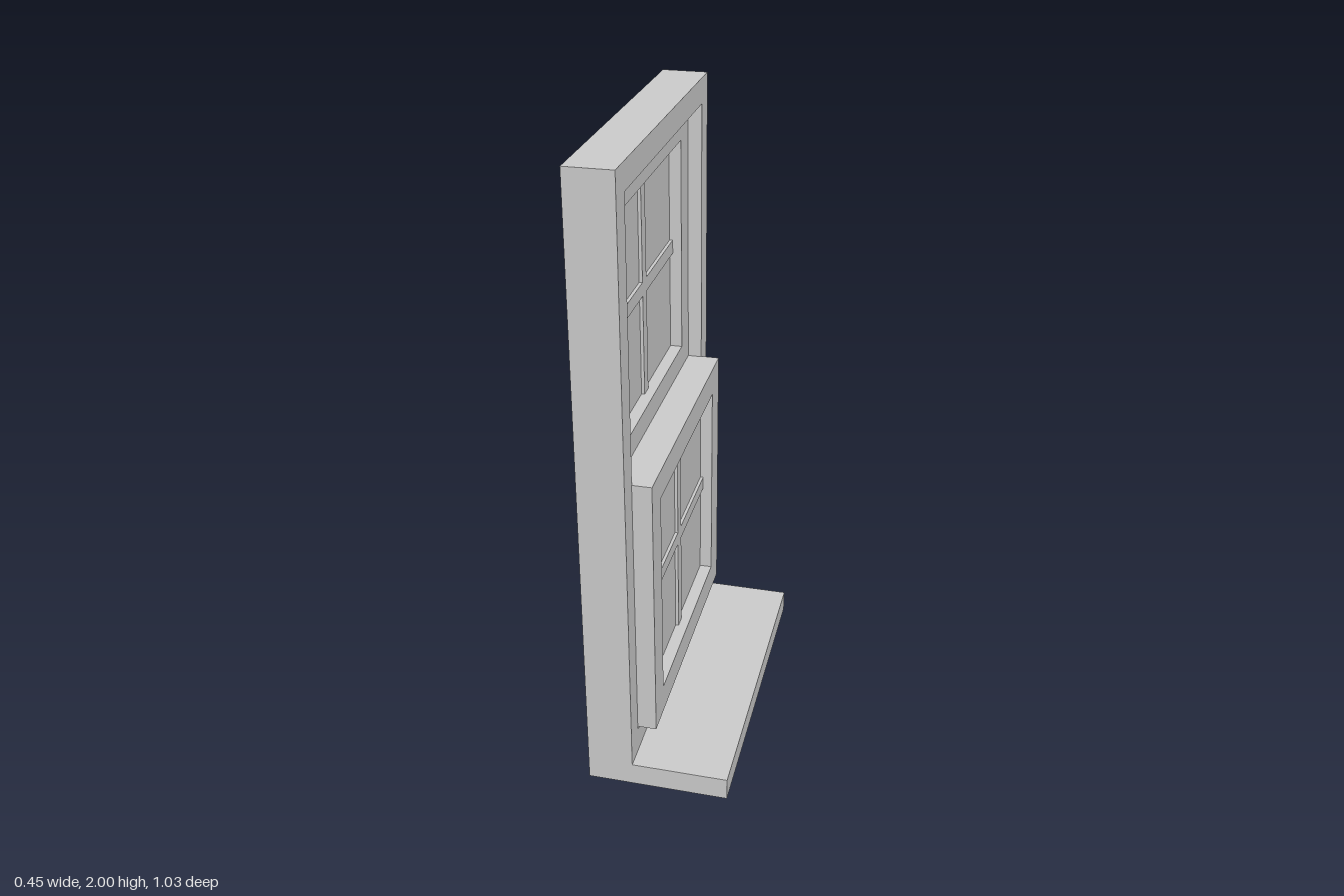
import * as THREE from 'three';

const material = new THREE.MeshStandardMaterial({ color: 0xcccccc, flatShading: true });

function part(name, geometry) {
  const mesh = new THREE.Mesh(geometry, material);
  mesh.name = name;
  return mesh;
}

// Box given by its limits on each axis
function box(name, x0, x1, y0, y1, z0, z1) {
  const geometry = new THREE.BoxGeometry(x1 - x0, y1 - y0, z1 - z0);
  geometry.translate((x0 + x1) / 2, (y0 + y1) / 2, (z0 + z1) / 2);
  return part(name, geometry);
}

function trace(path, halfWidth, y0, y1) {
  path.moveTo(-halfWidth, y0);
  path.lineTo(halfWidth, y0);
  path.lineTo(halfWidth, y1);
  path.lineTo(-halfWidth, y1);
  path.closePath();
  return path;
}

// Rectangular surround with a rectangular opening, extruded along x
function surround(name, x0, x1, outer, inner) {
  const shape = trace(new THREE.Shape(), ...outer);
  shape.holes.push(trace(new THREE.Path(), ...inner));
  const geometry = new THREE.ExtrudeGeometry(shape, { depth: x1 - x0, bevelEnabled: false });
  geometry.rotateY(Math.PI / 2);
  geometry.translate(x0, 0, 0);
  return part(name, geometry);
}

// Sash: surround, glass pane and crossed glazing bars
function sash(name, x0, x1, outer, inner) {
  const group = new THREE.Group();
  group.name = name;
  const [w, y0, y1] = inner;
  const x = (x0 + x1) / 2, y = (y0 + y1) / 2;
  const glass = 0.012, bar = 0.022, half = 0.022;
  group.add(
    surround('sashFrame', x0, x1, outer, inner),
    box('glass', x - glass, x + glass, y0, y1, -w, w),
    box('verticalBar', x - bar, x + bar, y0, y1, -half, half),
    box('horizontalBar', x - bar, x + bar, y - half, y + half, -w, w)
  );
  return group;
}

export function createModel() {
  const model = new THREE.Group();
  model.name = 'sashWindow';
  model.add(
    surround('windowFrame', -0.223, -0.08, [0.515, 0, 2], [0.438, 0.155, 1.92]),
    box('sill', -0.08, 0.225, 0, 0.075, -0.515, 0.515),
    sash('upperSash', -0.226, -0.125, [0.44, 1.035, 1.921], [0.346, 1.13, 1.828]),
    sash('lowerSash', -0.125, -0.02, [0.442, 0.17, 1.055], [0.346, 0.265, 0.963])
  );
  return model;
}
